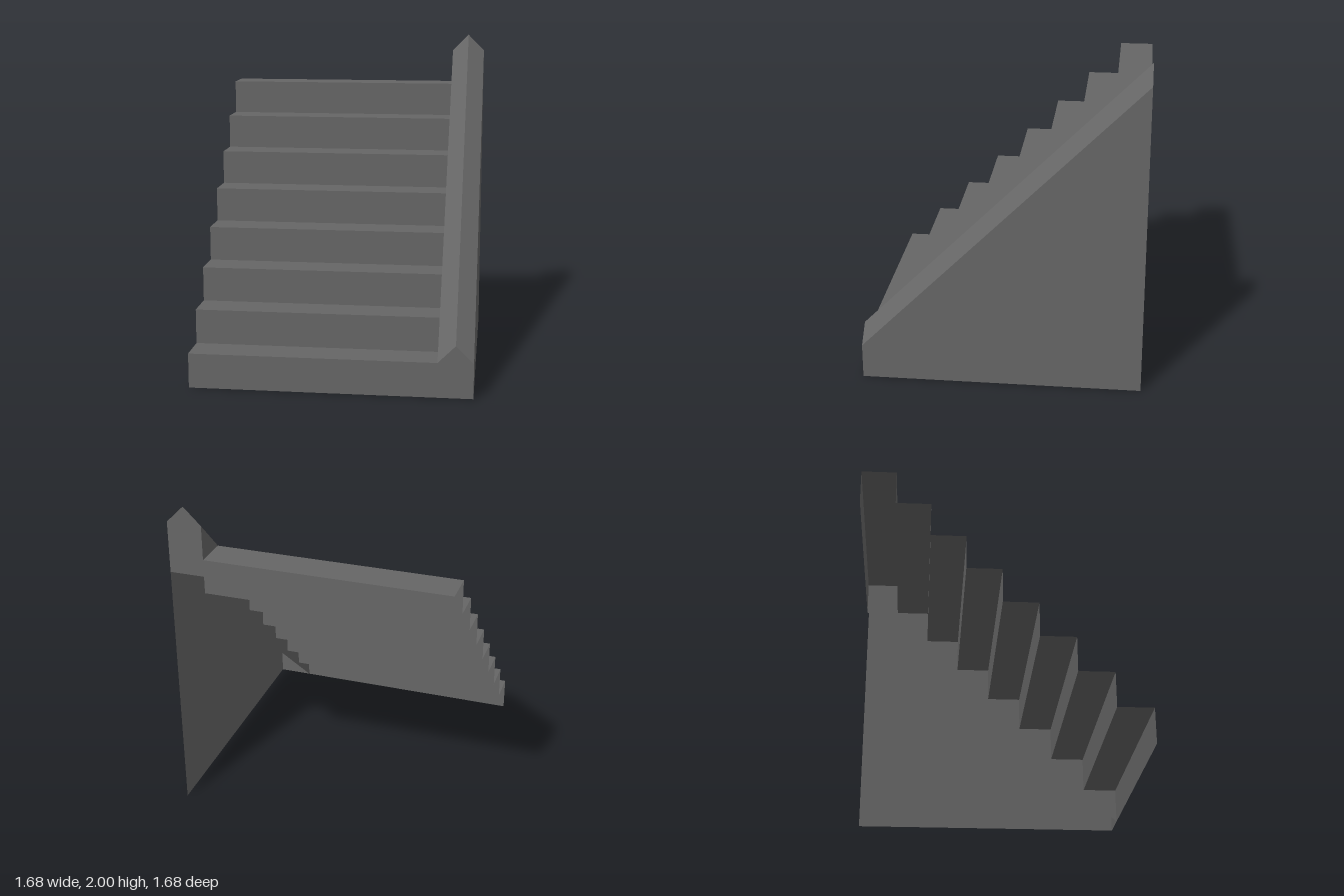
import * as THREE from 'three';

const U = 2 / 9.5;          // one step: rise and depth
const STEPS = 8;
const H = 4 * U;            // half width and half depth
const INNER = H - U;        // inner side of the rail
const RIDGE = H - U / 2;    // crest of the rail

const stone = new THREE.MeshStandardMaterial({ color: 0x666666, side: THREE.DoubleSide });
stone.name = 'darkGreyStone';

// Flat convex panel; corners run anticlockwise as seen from outside
function panel(name, corners) {
  const pos = [];
  for (let i = 1; i < corners.length - 1; i++) {
    pos.push(...corners[0], ...corners[i], ...corners[i + 1]);
  }
  const geo = new THREE.BufferGeometry();
  geo.setAttribute('position', new THREE.Float32BufferAttribute(pos, 3));
  geo.computeVertexNormals();
  const mesh = new THREE.Mesh(geo, stone);
  mesh.name = name;
  return mesh;
}

export function createModel() {
  const model = new THREE.Group();
  model.name = 'staircase';

  // Open flight of risers and treads
  const flight = new THREE.Group();
  flight.name = 'flight';
  for (let i = 0; i < STEPS; i++) {
    const y0 = i * U, y1 = y0 + U, z0 = H - i * U, z1 = z0 - U;
    flight.add(
      panel('riser', [[-H, y0, z0], [INNER, y0, z0], [INNER, y1, z0], [-H, y1, z0]]),
      panel('tread', [[-H, y1, z0], [INNER, y1, z0], [INNER, y1, z1], [-H, y1, z1]]),
    );
  }
  // Short lip behind the top step
  const top = STEPS * U;
  flight.add(panel('backLip', [[INNER, top - U, -H], [-H, top - U, -H], [-H, top, -H], [INNER, top, -H]]));
  model.add(flight);

  // Sloping side rail with a pointed crest, hollow underneath
  const rail = new THREE.Group();
  rail.name = 'sideRail';
  const low = U, high = 9 * U, cut = 7.5 * U;
  const crestFront = [RIDGE, low + U / 2, H], crestBack = [RIDGE, high + U / 2, -H];
  const inFront = [INNER, low, H], inBack = [INNER, high, -H];
  const outFront = [H, low, H], outBack = [H, high, -H];
  rail.add(
    panel('railInnerSlope', [inFront, crestFront, crestBack, inBack]),
    panel('railOuterSlope', [crestFront, outFront, outBack, crestBack]),
    panel('railInnerSide', [[INNER, top - U, -H], [INNER, 0, H], inFront, inBack]),
    panel('outerWall', [[H, 0, H], [H, 0, -H], outBack, outFront]),
    panel('railFrontEnd', [[INNER, 0, H], [H, 0, H], outFront, crestFront, inFront]),
    panel('railBackEnd', [[H, cut, -H], [INNER, cut, -H], inBack, crestBack, outBack]),
  );
  model.add(rail);

  return model;
}
